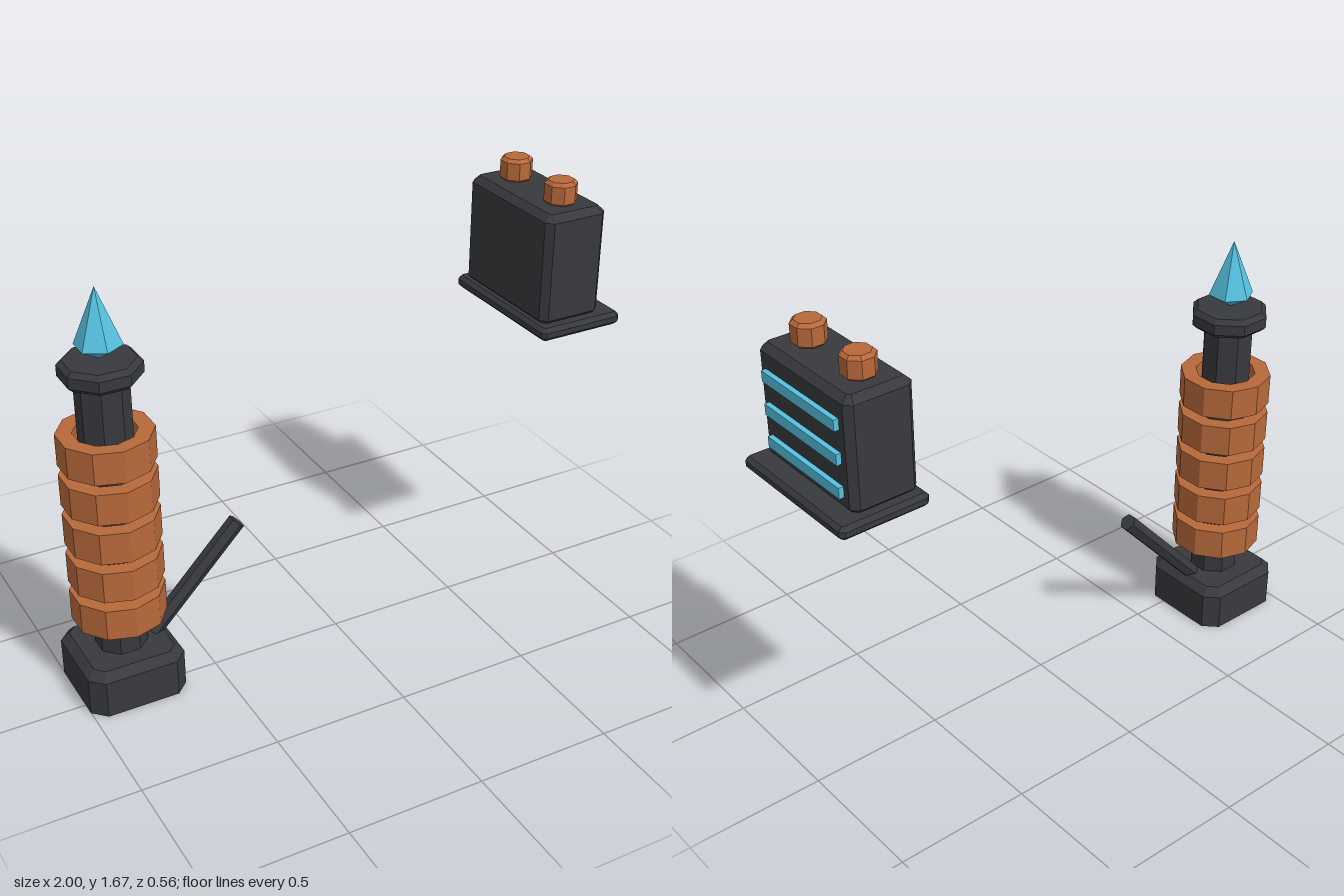
import * as THREE from 'three';

const paint = (color) => new THREE.MeshStandardMaterial({ color, flatShading: true });

// Rectangle with cut corners, lofted through [y, inset] levels and capped.
function chamferedPrism(w, d, cut, levels) {
  const loops = levels.map(([y, inset]) => {
    const a = w / 2 - inset, b = d / 2 - inset;
    const c = Math.max(cut - inset * 0.586, 0);
    return [
      [-a + c, b], [a - c, b], [a, b - c], [a, -b + c],
      [a - c, -b], [-a + c, -b], [-a, -b + c], [-a, b - c],
    ].map(([x, z]) => [x, y, z]);
  });
  const out = [];
  const tri = (...pts) => pts.forEach((p) => out.push(...p));
  const last = loops.length - 1;
  for (let i = 0; i < 8; i++) {
    const j = (i + 1) % 8;
    for (let k = 0; k < last; k++) {
      const lo = loops[k], hi = loops[k + 1];
      tri(lo[i], lo[j], hi[j]);
      tri(lo[i], hi[j], hi[i]);
    }
    tri([0, levels[last][0], 0], loops[last][i], loops[last][j]);
    tri([0, levels[0][0], 0], loops[0][j], loops[0][i]);
  }
  const geo = new THREE.BufferGeometry();
  geo.setAttribute('position', new THREE.Float32BufferAttribute(out, 3));
  geo.computeVertexNormals();
  return geo;
}

// Regular octagon with flats facing the axes.
const octagon = (w, levels) => chamferedPrism(w, w, w * 0.2929, levels);

// Levels for a block bevelled at both ends.
const bevelled = (y0, y1, b) => [[y0, b], [y0 + b, 0], [y1 - b, 0], [y1, b]];

const lathe = (pts, sides) =>
  new THREE.LatheGeometry(pts.map(([x, y]) => new THREE.Vector2(x, y)), sides).toNonIndexed();

export function createModel() {
  const dark = paint(0x38393d);
  const copper = paint(0xb8693b);
  const glow = paint(0x55c1e0);

  const model = new THREE.Group();
  const add = (parent, name, geo, mat, x = 0, y = 0, z = 0) => {
    const mesh = new THREE.Mesh(geo, mat);
    mesh.name = name;
    mesh.position.set(x, y, z);
    parent.add(mesh);
    return mesh;
  };

  // Coil tower
  const tower = new THREE.Group();
  tower.name = 'coilTower';
  tower.position.set(-0.82, 0, -0.083);
  model.add(tower);

  add(tower, 'towerBase',
    chamferedPrism(0.362, 0.362, 0.048, [[0, 0], [0.14, 0], [0.17, 0.03]]), dark);
  add(tower, 'column', octagon(0.172, [[0.15, 0], [1.23, 0]]), dark);
  add(tower, 'columnCap', octagon(0.262, bevelled(1.21, 1.283, 0.017)), dark);

  // Hollow copper rings
  const ring = lathe([[0.11, 0], [0.167, 0], [0.167, 0.117], [0.11, 0.117], [0.11, 0]], 10);
  for (let i = 0; i < 5; i++) add(tower, 'coilRing', ring, copper, 0, 0.286 + i * 0.154, 0);

  // Crystal tip
  add(tower, 'crystal', lathe([[0, 1.283], [0.082, 1.333], [0, 1.535]], 6), glow);

  // Slanted lever
  const from = new THREE.Vector3(-0.7, 0.165, -0.083);
  const to = new THREE.Vector3(-0.362, 0.532, -0.07);
  const dir = to.clone().sub(from);
  const lever = add(model, 'lever', new THREE.CylinderGeometry(0.032, 0.032, dir.length(), 6), dark);
  lever.position.copy(from).add(to).multiplyScalar(0.5);
  lever.quaternion.setFromUnitVectors(new THREE.Vector3(0, 1, 0), dir.normalize());

  // Power cell
  const cell = new THREE.Group();
  cell.name = 'powerCell';
  cell.position.x = 0.807;
  model.add(cell);

  add(cell, 'mountingPlate',
    chamferedPrism(0.332, 0.562, 0.015, bevelled(1.138, 1.186, 0.014)), dark, 0.027);
  add(cell, 'cellBody',
    chamferedPrism(0.246, 0.496, 0.024, bevelled(1.176, 1.586, 0.024)), dark);

  // Glowing strips on the left face
  for (let i = 0; i < 3; i++) {
    add(cell, 'glowStrip', new THREE.BoxGeometry(0.04, 0.039, 0.398), glow,
      0.121, 1.254 + i * 0.117, 0);
  }

  // Terminals
  const terminal = octagon(0.108, bevelled(1.582, 1.668, 0.012));
  for (const side of [-1, 1]) add(cell, 'terminal', terminal, copper, 0, 0, side * 0.134);

  return model;
}
